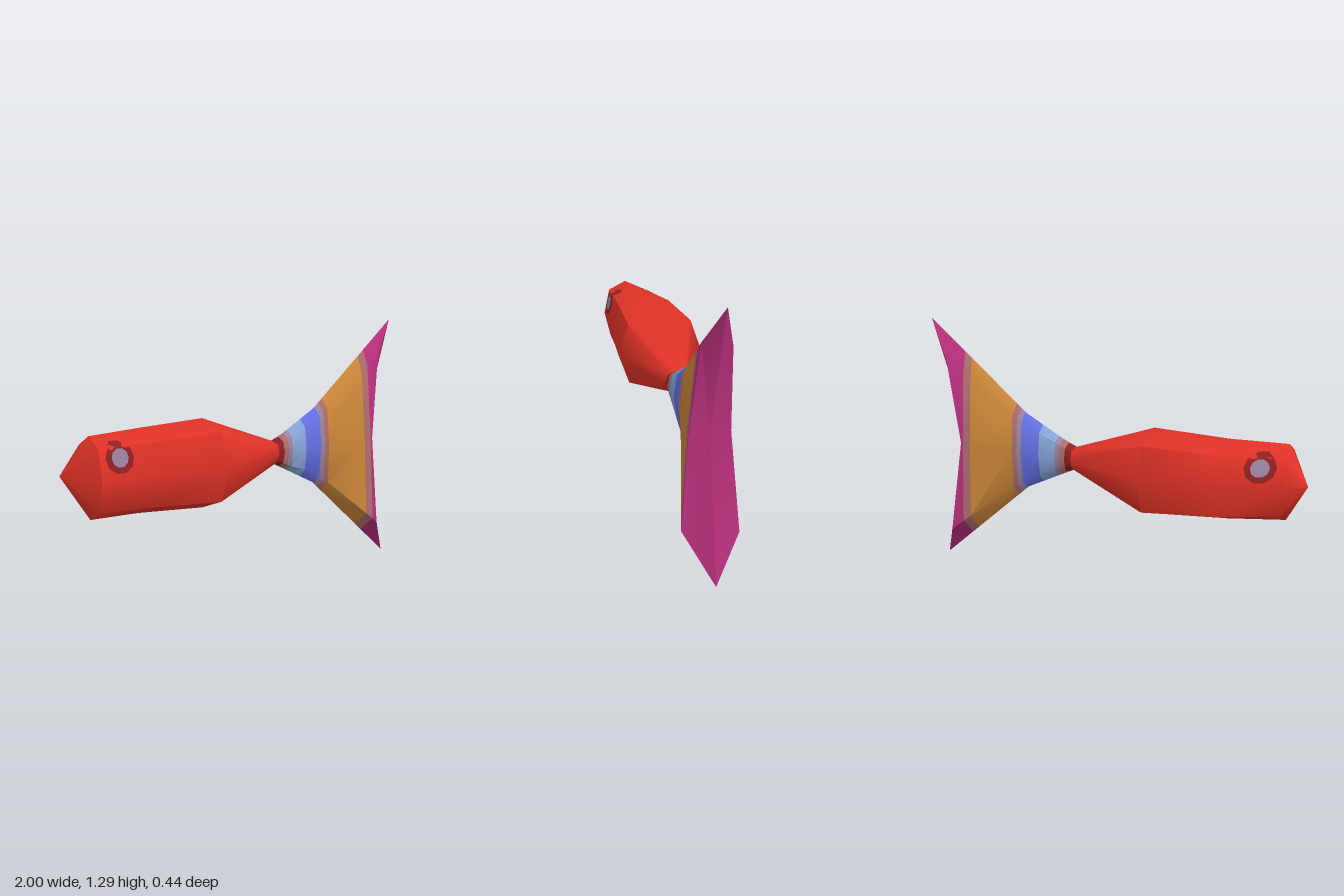
import * as THREE from 'three';
import { toCreasedNormals } from 'three/addons/utils/BufferGeometryUtils.js';

const mat = (name, color) => new THREE.MeshStandardMaterial({ name, color });
const V = (x, y, z) => new THREE.Vector3(x, y, z);
const SIDES = 8;

// Octagonal cross-section, starting at the top and turning towards +z
function ring(x, yLow, yHigh, zBack, zFront) {
  const yc = (yLow + yHigh) / 2, zc = (zBack + zFront) / 2;
  return Array.from({ length: SIDES }, (_, i) => {
    const a = (i * Math.PI * 2) / SIDES, k = i % 2 ? 1.06 : 1;
    return V(x, yc + Math.cos(a) * k * (yHigh - yLow) / 2, zc + Math.sin(a) * k * (zFront - zBack) / 2);
  });
}
const point = (x, y, z) => Array.from({ length: SIDES }, () => V(x, y, z));

// Skin between successive cross-sections; colours[i] is the material index of segment i
function loft(rings, colours) {
  const pos = [], geo = new THREE.BufferGeometry();
  const tri = (...p) => p.forEach(v => pos.push(v.x, v.y, v.z));
  for (let i = 0; i < rings.length - 1; i++) {
    const start = pos.length / 3;
    for (let j = 0; j < SIDES; j++) {
      const k = (j + 1) % SIDES;
      const a = rings[i][j], b = rings[i][k], c = rings[i + 1][j], d = rings[i + 1][k];
      if (!a.equals(b)) tri(a, b, c);
      if (!c.equals(d)) tri(b, d, c);
    }
    geo.addGroup(start, pos.length / 3 - start, colours[i]);
  }
  geo.setAttribute('position', new THREE.Float32BufferAttribute(pos, 3));
  return toCreasedNormals(geo, 0.9);
}

export function createModel() {
  const fish = new THREE.Group();
  fish.name = 'fish';
  const red = mat('red', 0xe03226), maroon = mat('maroon', 0x8e1f22), mauve = mat('mauve', 0xac6c6c);
  const grey = mat('greyMauve', 0x9a83a0), light = mat('lightBlue', 0x86a4d8), blue = mat('blue', 0x6470e4);
  const orange = mat('orange', 0xca8638), magenta = mat('magenta', 0xb8307c);

  // Body, from the nose to the narrow tail root
  const root = ring(0.18, 0.565, 0.68, -0.06, 0.055);
  const body = new THREE.Mesh(loft([
    point(-1, 0.62, 0.01),
    ring(-0.89, 0.425, 0.795, -0.045, 0.2),
    ring(-0.62, 0.412, 0.805, -0.17, 0.208),
    ring(-0.25, 0.39, 0.825, -0.22, 0.217),
    root,
  ], [0, 0, 0, 0]), [red]);
  body.name = 'body';
  fish.add(body);

  // Tail rails run from the root through the waist to the flared rear rim
  const waist = ring(0.45, 0.44, 0.83, -0.066, 0.05);
  const rim = [
    V(1, 1.29, -0.02), V(0.86, 1.1, 0.045), V(0.795, 0.66, 0.08), V(0.81, 0.2, 0.112),
    V(0.965, 0, -0.01), V(0.85, 0.19, -0.14), V(0.795, 0.66, -0.105), V(0.88, 1.08, -0.08),
  ];
  const railAt = (j, x) => {
    const [a, b] = x < 0.45 ? [root[j], waist[j]] : [waist[j], rim[j]];
    return a.clone().lerp(b, (x - a.x) / (b.x - a.x));
  };
  const slice = x => rim.map((_, j) => railAt(j, x + (x > 0.7 && j % 4 === 0 ? 0.02 : 0)));

  // Colour bands across the tail: start of each band and its material
  const tailMats = [maroon, mauve, light, blue, grey, orange, magenta];
  const bands = [[0.18, 0], [0.215, 1], [0.245, 4], [0.27, 2], [0.36, 3], [0.45, 3], [0.46, 4],
    [0.485, 1], [0.51, 5], [0.745, 1], [0.785, 6]];
  const rings = bands.map(([x]) => slice(x));
  const tail = new THREE.Mesh(
    loft([...rings, rim, point(0.8, 0.66, -0.012)], [...bands.map(b => b[1]), 6]), tailMats);
  tail.name = 'tail';
  fish.add(tail);

  // Eyes: thin discs laid onto both sides of the head
  const ray = new THREE.Raycaster();
  body.updateMatrixWorld(true);
  function disc(name, side, radius, lift, material) {
    const geo = new THREE.RingGeometry(0.001, radius, 10, 6);
    if (side < 0) geo.rotateY(Math.PI);
    geo.translate(-0.795, 0.705, 0);
    const p = geo.attributes.position;
    for (let i = 0; i < p.count; i++) {
      ray.set(V(p.getX(i), p.getY(i), side), V(0, 0, -side));
      const hit = ray.intersectObject(body)[0];
      if (hit) p.setZ(i, hit.point.z + side * lift);
    }
    geo.computeVertexNormals();
    const mesh = new THREE.Mesh(geo, material);
    mesh.name = name;
    fish.add(mesh);
  }
  for (const [label, side] of [['left', 1], ['right', -1]]) {
    disc(label + 'EyeRim', side, 0.07, 0.005, maroon);
    disc(label + 'Eye', side, 0.042, 0.009, grey);
  }
  return fish;
}
